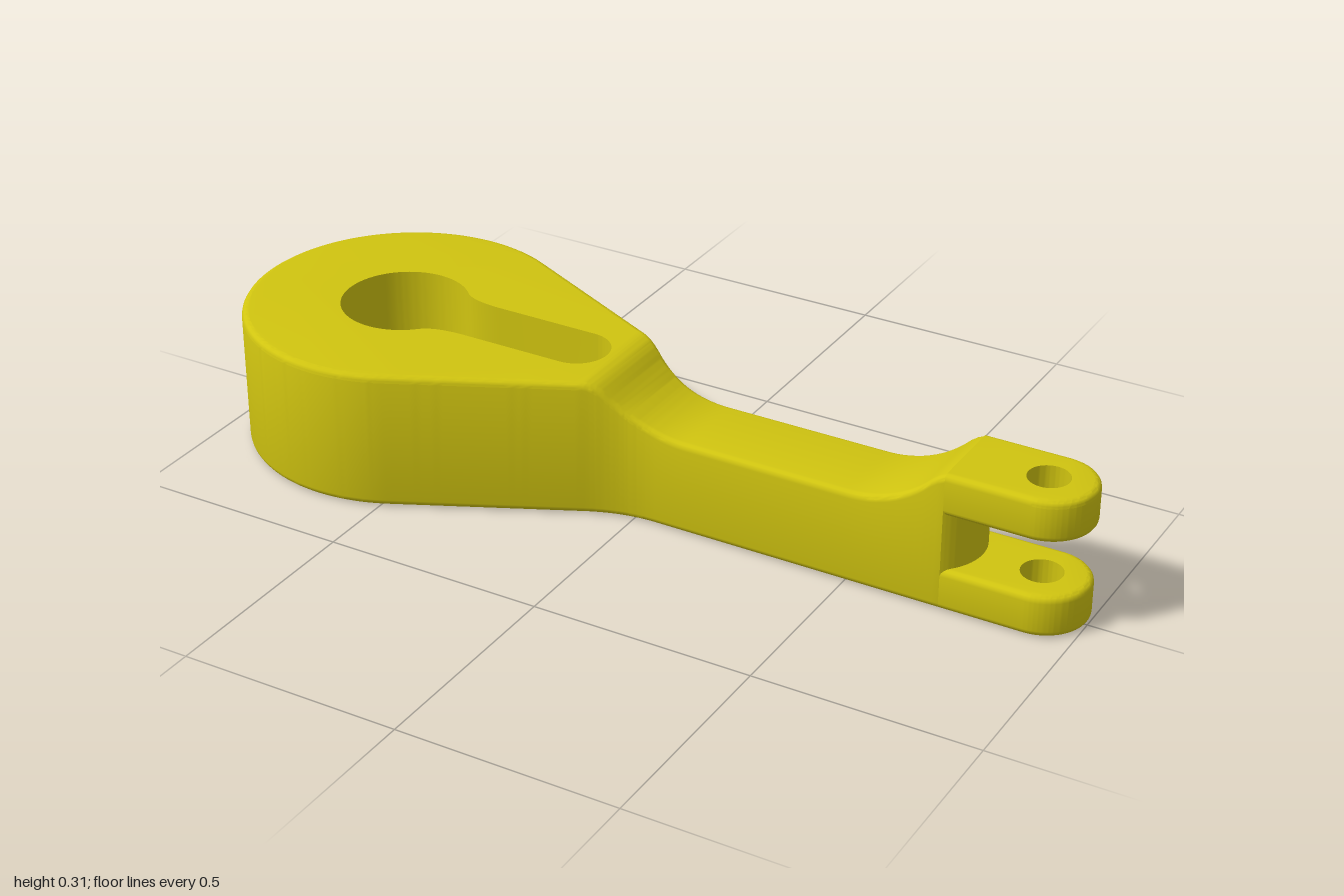
import * as THREE from 'three';
import { mergeGeometries, toCreasedNormals } from 'three/addons/utils/BufferGeometryUtils.js';

const H = 0.315, EDGE = 0.015, HEAD_X = -0.642, PIN_X = 0.895, ARM_W = 0.1;
const HOLE_R = 0.045, CUT_X = -0.105, FORK_X = 0.715;

// Height of the top face along x: level ends joined by a scooped arm.
function topAt(x) {
  const u = 0.31 - Math.abs(x - 0.31);
  if (u <= -0.11) return H;
  if (u < -0.06) return H - 0.025 * ((u + 0.11) / 0.05) ** 2;
  if (u < 0.12) return 0.215 + 0.2535 - Math.sqrt(0.2535 ** 2 - (u - 0.12) ** 2);
  return 0.215;
}

// Split long segments so the surface can follow topAt().
function resample(points, step = 0.015) {
  const out = [points[0]];
  for (let i = 1; i < points.length; i++) {
    const n = Math.max(1, Math.ceil(points[i].distanceTo(points[i - 1]) / step));
    for (let j = 1; j <= n; j++) out.push(points[i - 1].clone().lerp(points[i], j / n));
  }
  return out;
}

// Half outline (z >= 0) completed with its mirror image.
const mirror = (half) => [...half, ...half.map((p) => new THREE.Vector2(p.x, -p.y)).reverse()];

// Move a half outline inwards along its normals.
function inset(half, d) {
  const last = half.length - 1;
  return half.map((p, i) => {
    const flip = (q) => new THREE.Vector2(q.x, -q.y);
    const onAxis = Math.abs(p.y) < 1e-6;
    const a = i > 0 ? half[i - 1] : onAxis ? flip(half[1]) : p;
    const b = i < last ? half[i + 1] : onAxis ? flip(half[last - 1]) : p;
    const t = b.clone().sub(a).normalize();
    return new THREE.Vector2(p.x + t.y * d, p.y - t.x * d);
  });
}

function fromTriangles(pos) {
  const g = new THREE.BufferGeometry();
  g.setAttribute('position', new THREE.Float32BufferAttribute(pos, 3));
  return g;
}

function quad(pos, a, b, c, d) {
  for (const v of [a, b, c, a, c, d]) pos.push(v.x, v.y, v.z);
}

// Surface through rows of points stacked upwards.
function skin(rows) {
  const pos = [];
  for (let r = 0; r < rows.length - 1; r++)
    for (let j = 0; j < rows[r].length - 1; j++)
      quad(pos, rows[r][j], rows[r][j + 1], rows[r + 1][j + 1], rows[r + 1][j]);
  return fromTriangles(pos);
}

const lift = (loop, yOf) => loop.map((p) => new THREE.Vector3(p.x, yOf(p.x), p.y));
const wall = (loop, y0, y1) => skin([lift(loop, () => y0), lift(loop, () => y1)]);

// Outer wall with rounded bottom and top edges.
function roundedWall(half, bottom, topFn) {
  const rows = [], n = 4;
  for (let s = 0; s < 2; s++)
    for (let i = 0; i <= n; i++) {
      const a = ((s ? n - i : i) / n) * Math.PI / 2;
      const d = EDGE * (1 - Math.sin(a)), h = EDGE * (1 - Math.cos(a));
      rows.push(lift(mirror(inset(half, d)), (x) => (s ? topFn(x) - h : bottom + h)));
    }
  return skin(rows);
}

// Flat face with optional holes, facing up or down.
function cap(loop, holes, y, up) {
  const shape = new THREE.Shape(loop);
  shape.holes = holes.map((h) => new THREE.Path(h));
  const g = new THREE.ShapeGeometry(shape).toNonIndexed();
  g.rotateX(up ? -Math.PI / 2 : Math.PI / 2).translate(0, y, 0);
  return fromTriangles(Array.from(g.attributes.position.array));
}

const circle = (x, r) => new THREE.Path().absarc(x, 0, r, 0, Math.PI * 2, false).getPoints(48);

function createModel() {
  const group = new THREE.Group();
  const material = new THREE.MeshStandardMaterial({ color: 0xd0c410 });
  const add = (name, parts) => {
    const mesh = new THREE.Mesh(toCreasedNormals(mergeGeometries(parts), 0.5), material);
    mesh.name = name;
    group.add(mesh);
  };

  // Round head tapering into the arm
  const outline = new THREE.Path();
  outline.moveTo(-1, 0);
  outline.absarc(HEAD_X, 0, 0.358, Math.PI, 1.117, true);
  outline.lineTo(CUT_X, 0.137);
  outline.quadraticCurveTo(-0.03, ARM_W, 0.05, ARM_W);
  outline.lineTo(FORK_X, ARM_W);
  const half = resample(outline.getPoints(40));
  const rim = inset(half, EDGE);
  const cut = half.findLastIndex((p) => p.x <= CUT_X + 1e-6);

  // Keyhole pocket outline
  const key = new THREE.Path();
  key.moveTo(HEAD_X - 0.142, 0);
  key.absarc(HEAD_X, 0, 0.142, Math.PI, Math.PI / 4, true);
  key.quadraticCurveTo(-0.515, 0.073, -0.44, 0.073);
  key.lineTo(-0.198, 0.073);
  key.absarc(-0.198, 0, 0.073, Math.PI / 2, 0, true);
  const pocket = mirror(key.getPoints(24));
  const bore = circle(HEAD_X, 0.105), hole = circle(HEAD_X, HOLE_R);

  // Scooped upper face of the arm
  const armTop = [];
  const at = (p, s) => new THREE.Vector3(p.x, topAt(p.x), s * p.y);
  for (let i = cut; i < rim.length - 1; i++)
    quad(armTop, at(rim[i], 1), at(rim[i + 1], 1), at(rim[i + 1], -1), at(rim[i], -1));

  add('leverBody', [
    roundedWall(half, 0, topAt),
    cap(mirror(rim.slice(0, cut + 1)), [pocket], H, true),
    fromTriangles(armTop),
    cap(mirror(rim), [hole], 0, false),
  ]);

  // Stepped pocket with through hole
  const floorY = 0.1, boreY = 0.05;
  add('keyholePocket', [
    wall([...pocket].reverse(), floorY, H),
    cap(pocket, [bore], floorY, true),
    wall(bore, boreY, floorY),
    cap(bore, [hole], boreY, true),
    wall(hole, 0, boreY),
  ]);

  // Fork prongs with pin holes
  const tip = new THREE.Path();
  tip.moveTo(FORK_X, ARM_W);
  tip.lineTo(0.9, ARM_W);
  tip.absarc(0.9, 0, ARM_W, Math.PI / 2, 0, true);
  const prong = tip.getPoints(24), prongRim = mirror(inset(prong, EDGE));
  const pin = circle(PIN_X, HOLE_R);
  for (const [name, y0, y1] of [['lowerProng', 0, 0.095], ['upperProng', 0.22, H]])
    add(name, [
      roundedWall(prong, y0, () => y1),
      cap(prongRim, [pin], y0, false),
      cap(prongRim, [pin], y1, true),
      wall(pin, y0, y1),
    ]);

  // Convex wall at the root of the fork
  const root = new THREE.Path().absarc(0.64, 0, 0.125, 0.9273, 0, true).getPoints(20);
  add('forkRoot', [wall(mirror(root), 0.08, 0.235)]);

  return group;
}

export { createModel };
